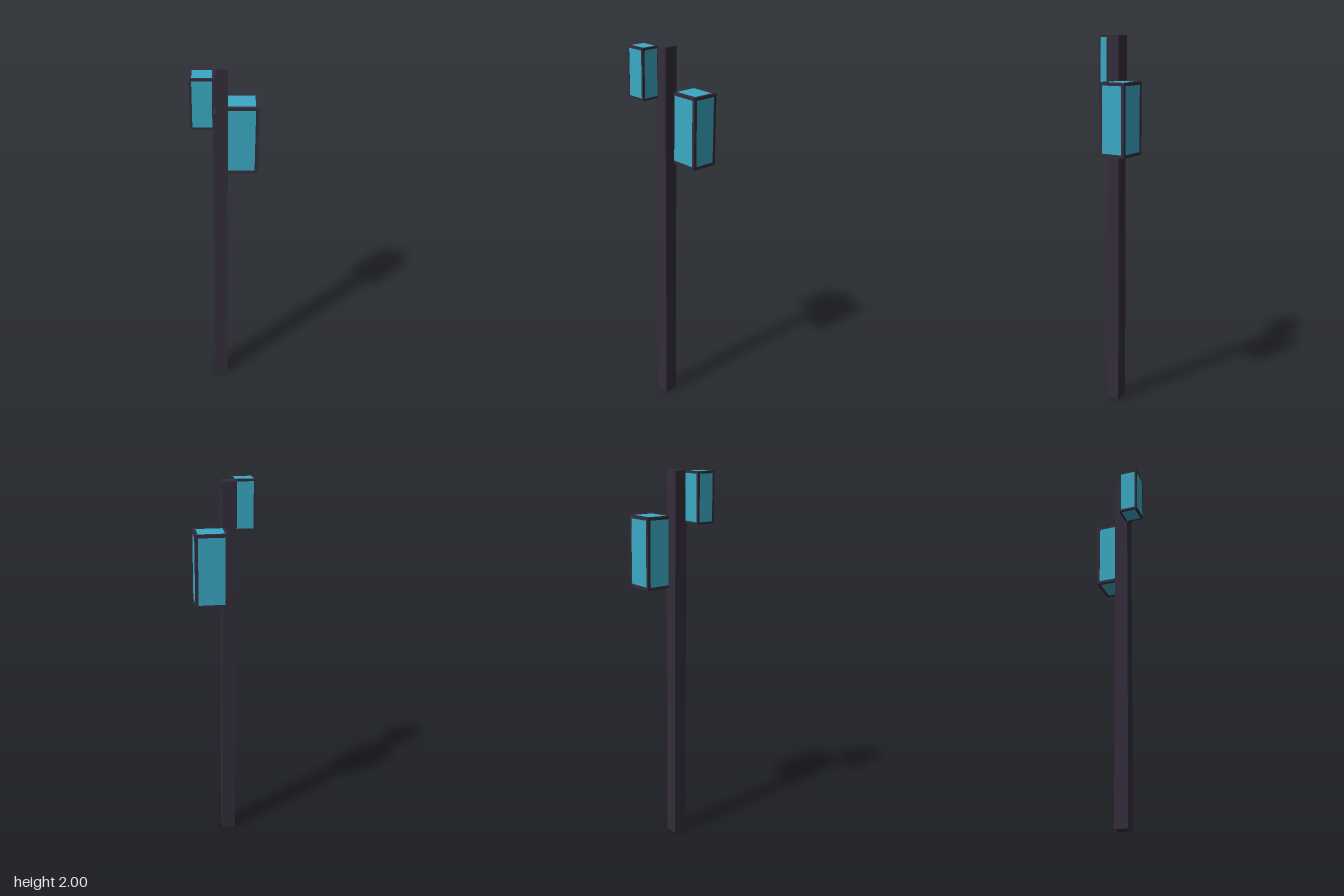
import * as THREE from 'three';

const dark = new THREE.MeshStandardMaterial({ color: 0x332d3b });
const teal = new THREE.MeshStandardMaterial({ color: 0x3aa9c4 });

function box(name, size, center, material) {
  const mesh = new THREE.Mesh(new THREE.BoxGeometry(...size), material);
  mesh.position.set(...center);
  mesh.name = name;
  return mesh;
}

// Glass block held in a frame of twelve square bars
function lantern(name, [w, h, d], center, bar) {
  const group = new THREE.Group();
  group.name = name;
  group.position.set(...center);
  const recess = 0.002;
  group.add(box('glass', [w - recess, h - recess, d - recess], [0, 0, 0], teal));
  const x = (w - bar) / 2, y = (h - bar) / 2, z = (d - bar) / 2;
  for (const a of [-1, 1]) {
    for (const b of [-1, 1]) {
      group.add(
        box('frameUpright', [bar, h, bar], [a * x, 0, b * z], dark),
        box('frameRailAcross', [w - 2 * bar, bar, bar], [0, a * y, b * z], dark),
        box('frameRailDeep', [bar, bar, d - 2 * bar], [a * x, b * y, 0], dark)
      );
    }
  }
  return group;
}

export function createModel() {
  const model = new THREE.Group();
  model.name = 'lampPost';

  // Square post
  model.add(box('post', [0.072, 2, 0.072], [-0.024, 1, 0.018], dark));

  // Lanterns on opposite corners of the post
  model.add(lantern('largeLantern', [0.167, 0.374, 0.146], [0.08, 1.585, -0.075], 0.016));
  model.add(lantern('smallLantern', [0.116, 0.26, 0.103], [-0.107, 1.869, 0.0945], 0.0115));

  return model;
}
